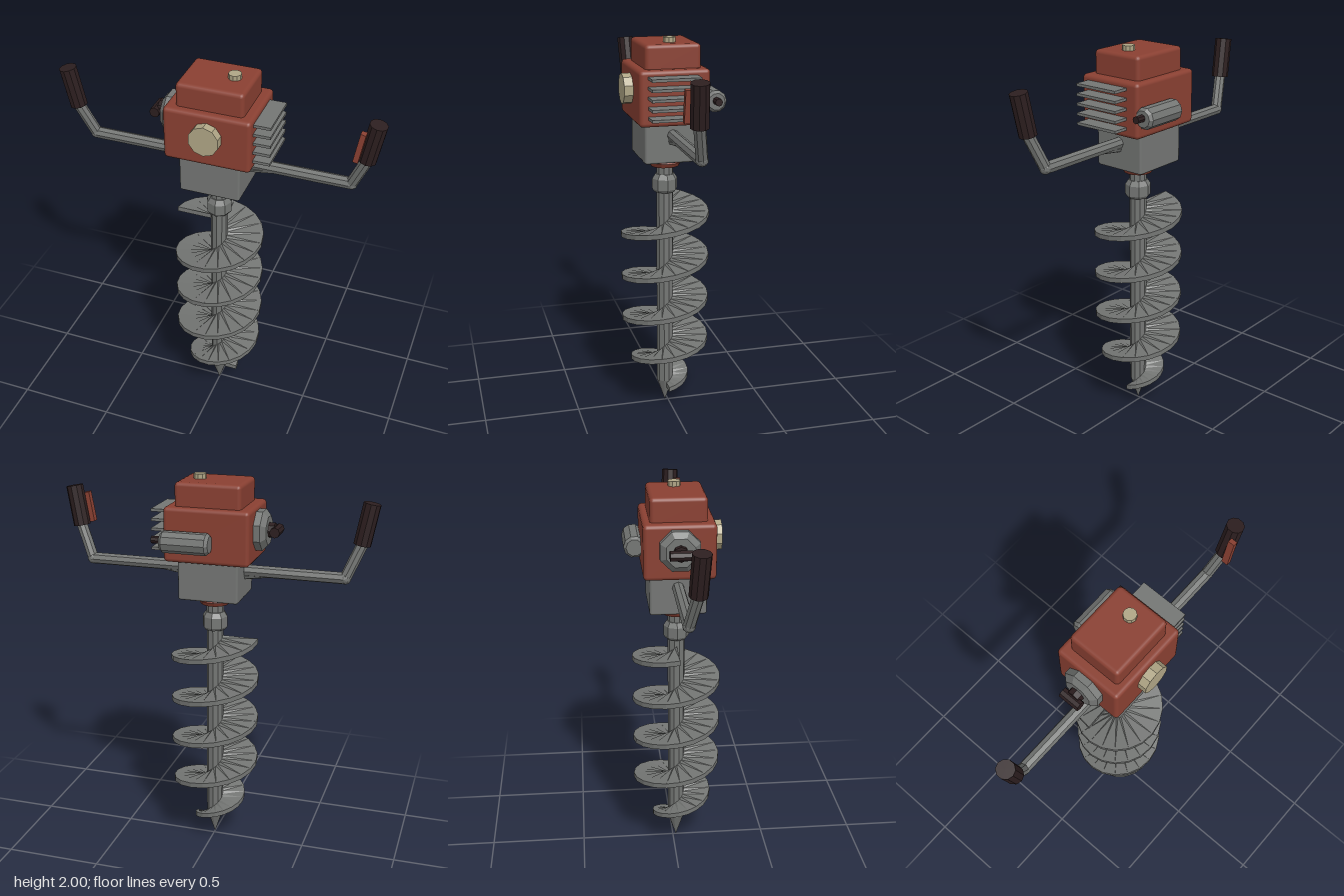
import * as THREE from 'three';
import { RoundedBoxGeometry } from 'three/addons/geometries/RoundedBoxGeometry.js';

const AXIS_Z = 0.017; // the drill axis sits slightly forward

const material = (name, color) => {
  const m = new THREE.MeshStandardMaterial({ color });
  m.name = name;
  return m;
};

// Faceted normals for the low-poly parts
function faceted(geometry) {
  const g = geometry.index ? geometry.toNonIndexed() : geometry;
  g.computeVertexNormals();
  return g;
}

// Closed lathe from [radius, height] points, listed from bottom to top
const turned = (points, sides) =>
  faceted(new THREE.LatheGeometry(points.map(([r, y]) => new THREE.Vector2(r, y)), sides));

// Spiral flight: a rectangular section swept up the shaft, narrower at the bottom
function flightGeometry() {
  const turns = 4.5, steps = 90, y0 = 0.105, y1 = 1.152, half = 0.013;
  const pos = [], idx = [];
  for (let i = 0; i <= steps; i++) {
    const t = i / steps, a = t * turns * Math.PI * 2, y = y0 + (y1 - y0) * t;
    const outer = Math.min(0.23, 0.1 + 0.115 * t * turns);
    for (const [r, h] of [[0.035, -half], [outer, -half], [outer, half], [0.035, half]])
      pos.push(r * Math.cos(a), y + h, -r * Math.sin(a));
  }
  for (let i = 0; i < steps; i++) {
    for (let j = 0; j < 4; j++) {
      const a = i * 4 + j, b = i * 4 + (j + 1) % 4;
      idx.push(a, a + 4, b, a + 4, b + 4, b);
    }
  }
  const e = steps * 4;
  idx.push(0, 1, 2, 0, 2, 3, e, e + 2, e + 1, e, e + 3, e + 2);
  const g = new THREE.BufferGeometry();
  g.setAttribute('position', new THREE.Float32BufferAttribute(pos, 3));
  g.setIndex(idx);
  return faceted(g);
}

export function createModel() {
  const model = new THREE.Group();
  model.name = 'earthAuger';
  const red = material('red paint', 0x8a4032);
  const grey = material('grey metal', 0x747674);
  const cream = material('cream plastic', 0xb0a686);
  const dark = material('dark rubber', 0x2c1e1f);

  const add = (name, geometry, mat, x = 0, y = 0, z = AXIS_Z, parent = model) => {
    const mesh = new THREE.Mesh(geometry, mat);
    mesh.name = name;
    mesh.position.set(x, y, z);
    parent.add(mesh);
    return mesh;
  };

  // Straight rod between two points
  const rod = (name, from, to, radius, mat, sides = 8, parent = model) => {
    const a = new THREE.Vector3(...from), b = new THREE.Vector3(...to);
    const d = b.clone().sub(a), mid = a.clone().add(b).multiplyScalar(0.5);
    const g = faceted(new THREE.CylinderGeometry(radius, radius, d.length(), sides));
    const mesh = add(name, g, mat, mid.x, mid.y, mid.z, parent);
    mesh.quaternion.setFromUnitVectors(new THREE.Vector3(0, 1, 0), d.normalize());
    return mesh;
  };

  // Drill: pointed shaft, spiral flight, coupling and seal ring
  add('drillShaft', turned([[0, 0], [0.044, 0.13], [0.044, 1.4], [0, 1.4]], 10), grey);
  add('spiralFlight', flightGeometry(), grey);
  add('coupling', turned([[0, 1.2], [0.055, 1.2], [0.066, 1.215], [0.066, 1.27],
    [0.05, 1.295], [0, 1.295]], 8), grey);
  add('sealRing', faceted(new THREE.TorusGeometry(0.061, 0.025, 6, 14).rotateX(Math.PI / 2)), red, 0, 1.36);

  // Gearbox, engine housing and tank
  add('gearbox', new RoundedBoxGeometry(0.312, 0.205, 0.284, 1, 0.012), grey, -0.003, 1.485, 0.013);
  add('engineHousing', new RoundedBoxGeometry(0.437, 0.275, 0.355, 2, 0.02), red, -0.003, 1.72, 0.016);
  add('tank', new RoundedBoxGeometry(0.338, 0.15, 0.28, 2, 0.02), red, -0.001, 1.9, 0.014);
  add('tankCap', faceted(new THREE.CylinderGeometry(0.032, 0.032, 0.04, 10)), cream, 0.076, 1.98, 0.012);
  add('frontCap', faceted(new THREE.CylinderGeometry(0.077, 0.077, 0.06, 10).rotateX(Math.PI / 2)),
    cream, 0, 1.742, 0.208);

  // Recoil starter with pull handle
  add('starterCover', turned([[0, 0], [0.105, 0], [0.105, 0.04], [0.075, 0.065], [0, 0.065]], 8)
    .rotateX(0).rotateY(Math.PI / 8).rotateZ(Math.PI / 2), grey, -0.215, 1.738, 0.013);
  rod('starterHub', [-0.27, 1.74, 0.012], [-0.31, 1.74, 0.012], 0.038, dark);
  rod('pullHandle', [-0.318, 1.738, -0.042], [-0.318, 1.738, 0.064], 0.026, dark);

  // Cooling fins
  for (let i = 0; i < 5; i++)
    add('coolingFin', new THREE.BoxGeometry(0.1, 0.014, 0.246), grey, 0.25, 1.63 + i * 0.0485, 0.029);

  // Muffler with outlet
  add('muffler', turned([[0, 0], [0.042, 0], [0.055, 0.015], [0.055, 0.235], [0.042, 0.25], [0, 0.25]], 10)
    .rotateZ(-Math.PI / 2), grey, -0.035, 1.695, -0.192);
  rod('mufflerOutlet', [0.2, 1.7, -0.19], [0.262, 1.7, -0.19], 0.019, dark);

  // Handlebars, one for each side
  for (const s of [1, -1]) {
    const bar = new THREE.Group();
    bar.name = s > 0 ? 'leftHandlebar' : 'rightHandlebar';
    model.add(bar);
    const bend = [s * 0.665, 1.525, 0.012], wrist = [s * 0.735, 1.69, 0.044], end = [s * 0.773, 1.893, 0.054];
    rod('crossBar', [s * 0.14, 1.525, 0.012], bend, 0.03, grey, 8, bar);
    add('bend', faceted(new THREE.IcosahedronGeometry(0.031, 1)), grey, ...bend, bar);
    rod('upright', bend, wrist, 0.029, grey, 8, bar);
    rod('grip', wrist, end, 0.044, dark, 10, bar);
    rod('brace', [s * 0.14, 1.495, 0.015], [s * 0.29, 1.517, 0.015], 0.021, grey, 8, bar);
  }

  // Throttle trigger beside the left grip
  add('throttleTrigger', new THREE.BoxGeometry(0.026, 0.155, 0.034), red, 0.703, 1.78, 0.088)
    .rotation.z = -0.17;

  return model;
}
